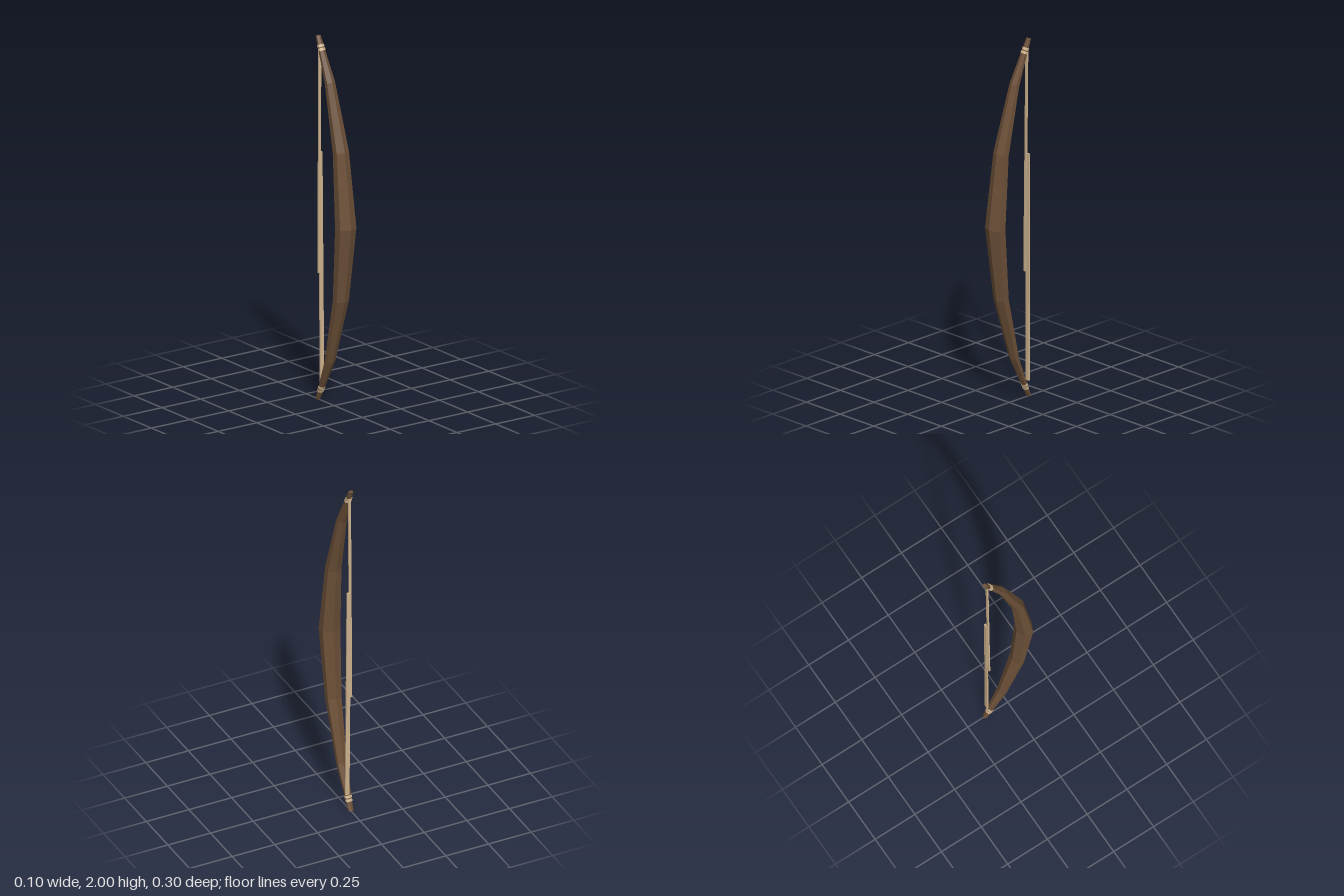
import * as THREE from 'three';

const wood = new THREE.MeshStandardMaterial({ color: 0x6b4f37 });
wood.name = 'dark wood';
wood.flatShading = true;
const cord = new THREE.MeshStandardMaterial({ color: 0xcdb28c });
cord.name = 'tan cord';
cord.flatShading = true;

// Upper limb stations: height, depth, half width, half depth, forward tilt
const LIMB = [
  [1.0, 0.103, 0.06, 0.047, 0],
  [1.405, 0.06, 0.046, 0.035, 0.2],
  [1.762, -0.037, 0.03, 0.022, 0.4],
  [1.998, -0.143, 0.0145, 0.0105, 0.2],
];

// Six-sided loft through stations, closed at both ends
function loft(stations) {
  const rings = stations.map(([y, z, rx, rz, tilt]) =>
    Array.from({ length: 6 }, (_, j) => {
      const a = (j * Math.PI) / 3;
      const d = rz * Math.cos(a);
      return new THREE.Vector3(rx * Math.sin(a), y + d * Math.sin(tilt), z + d * Math.cos(tilt));
    }));
  const pos = [];
  const tri = (...p) => p.forEach((v) => pos.push(v.x, v.y, v.z));
  for (let i = 0; i + 1 < rings.length; i++) {
    for (let j = 0; j < 6; j++) {
      const k = (j + 1) % 6;
      const lo = rings[i], hi = rings[i + 1];
      tri(lo[j], lo[k], hi[k]);
      tri(lo[j], hi[k], hi[j]);
    }
  }
  const first = rings[0], last = rings[rings.length - 1];
  for (let j = 1; j < 5; j++) {
    tri(first[0], first[j + 1], first[j]);
    tri(last[0], last[j], last[j + 1]);
  }
  const g = new THREE.BufferGeometry();
  g.setAttribute('position', new THREE.Float32BufferAttribute(pos, 3));
  g.computeVertexNormals();
  return g;
}

// Station on the outer limb segment, grown slightly for the binding
function wrapStation(y, grow) {
  const [a, b] = [LIMB[2], LIMB[3]];
  const t = (y - a[0]) / (b[0] - a[0]);
  const s = a.map((v, i) => THREE.MathUtils.lerp(v, b[i], t));
  return [y, s[1], s[2] + grow, s[3] + grow, 0.4];
}

const mirror = (stations) =>
  stations.map(([y, z, rx, rz, t]) => [2 - y, z, rx, rz, -t]).reverse();

// Flat cord strand between two points
function strand(name, from, to, width, depth) {
  const a = new THREE.Vector3(...from), b = new THREE.Vector3(...to);
  const m = new THREE.Mesh(new THREE.BoxGeometry(width, a.distanceTo(b), depth), cord);
  m.position.copy(a).add(b).multiplyScalar(0.5);
  m.quaternion.setFromUnitVectors(new THREE.Vector3(0, 1, 0), b.sub(a).normalize());
  m.name = name;
  return m;
}

export function createModel() {
  const bow = new THREE.Group();
  bow.name = 'bow';
  const add = (name, geometry, material) => {
    const m = new THREE.Mesh(geometry, material);
    m.name = name;
    bow.add(m);
  };

  // One continuous stave, lower limb mirrored from the upper
  add('stave', loft([...mirror(LIMB.slice(1)), ...LIMB]), wood);

  // Two turns of binding near each tip
  for (const y of [1.922, 1.94]) {
    const band = [wrapStation(y, 0.002), wrapStation(y + 0.013, 0.002)];
    add('upperBinding', loft(band), cord);
    add('lowerBinding', loft(mirror(band)), cord);
  }

  // Two overlapping strands form the bowstring
  bow.add(strand('upperString', [-0.009, 0.7, -0.124], [0.001, 1.95, -0.129], 0.014, 0.009));
  bow.add(strand('lowerString', [0.012, 0.095, -0.125], [0.006, 1.36, -0.132], 0.023, 0.009));
  return bow;
}
